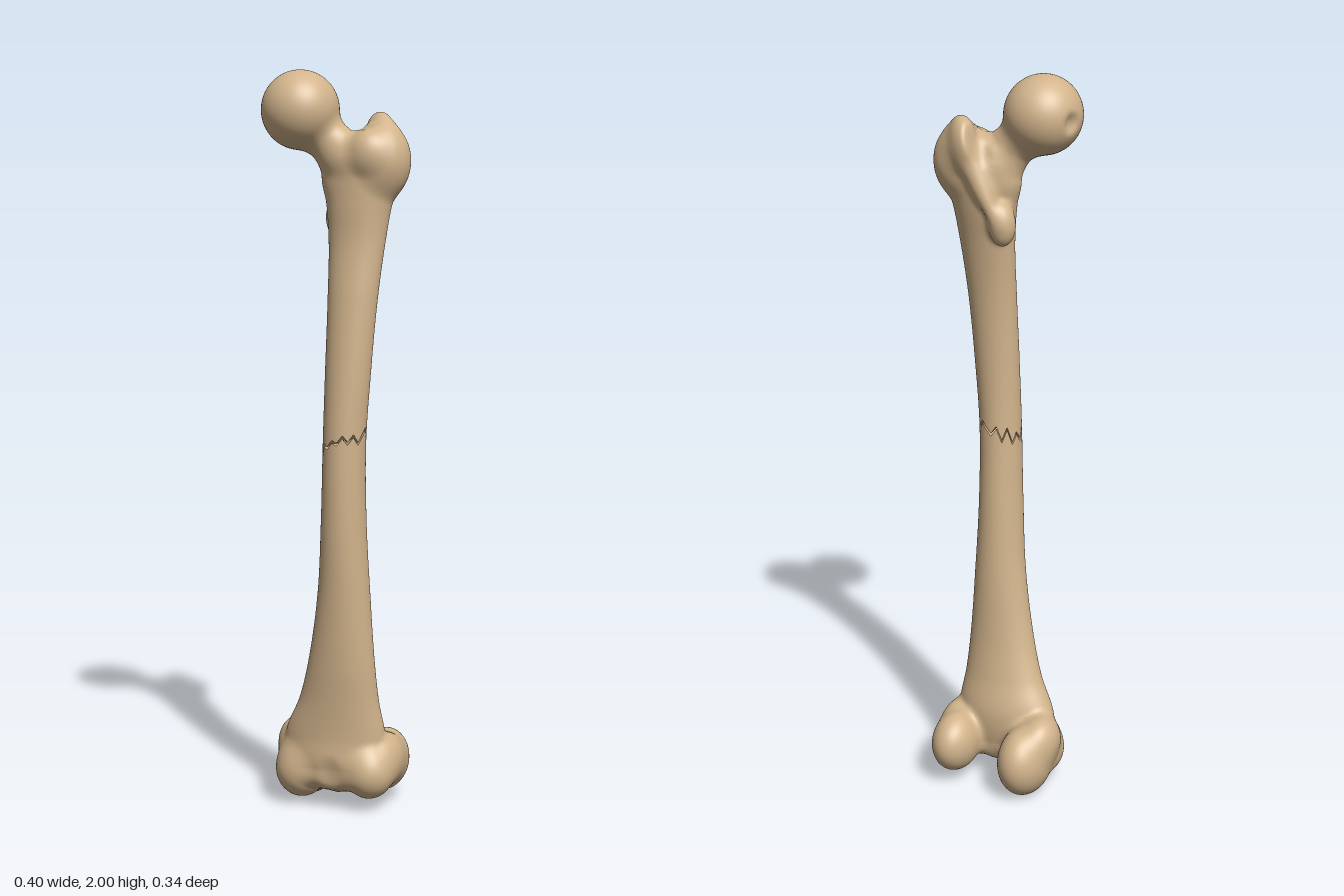
import * as THREE from 'three';

const bone = new THREE.MeshStandardMaterial({ color: 0xd2b48c });
bone.name = 'bone';
const BLEND = 0.028;

// Shaft stations: height -> x min, x max, z min, z max
const stations = [
  [0.035, -0.008, 0.0, 0.02, 0.028],
  [0.06, -0.09, 0.08, -0.03, 0.08],
  [0.12, -0.15, 0.125, -0.05, 0.1],
  [0.2, -0.155, 0.13, -0.055, 0.1],
  [0.3, -0.11, 0.117, -0.032, 0.106],
  [0.4, -0.08, 0.11, -0.015, 0.115],
  [0.6, -0.045, 0.1, 0.0, 0.127],
  [0.8, -0.03, 0.092, 0.01, 0.138],
  [1.02, -0.022, 0.093, 0.02, 0.14],
  [1.2, -0.018, 0.105, 0.02, 0.132],
  [1.4, -0.016, 0.12, 0.01, 0.116],
  [1.55, -0.02, 0.135, -0.01, 0.1],
  [1.65, -0.03, 0.15, -0.03, 0.1],
  [1.72, -0.045, 0.17, -0.04, 0.1],
  [1.78, -0.03, 0.17, -0.04, 0.1],
  [1.83, 0.03, 0.14, -0.02, 0.07],
  [1.85, 0.08, 0.088, 0.02, 0.028],
];
const BOTTOM = stations[0][0], TOP = stations[stations.length - 1][0];
const spline = new THREE.CubicInterpolant(stations.map(s => s[0]), stations.flatMap(s => s.slice(1)), 4);

function section(y) {
  const [x0, x1, z0, z1] = spline.evaluate(THREE.MathUtils.clamp(y, BOTTOM, TOP));
  return {
    cx: (x0 + x1) / 2, cz: (z0 + z1) / 2,
    rx: Math.max((x1 - x0) / 2, 0.003), rz: Math.max((z1 - z0) / 2, 0.003),
  };
}

function shaftDistance(p) {
  const { cx, cz, rx, rz } = section(p.y);
  const side = (Math.hypot((p.x - cx) / rx, (p.z - cz) / rz) - 1) * Math.min(rx, rz);
  return Math.max(side, BOTTOM - p.y, p.y - TOP);
}

// An ellipsoid lump, with rotation in degrees
function lump(name, centre, radii, rotation = [0, 0, 0]) {
  const matrix = new THREE.Matrix4().makeRotationFromEuler(
    new THREE.Euler(...rotation.map(THREE.MathUtils.degToRad))).setPosition(...centre);
  return { name, radii: new THREE.Vector3(...radii), matrix, inverse: matrix.clone().invert() };
}

const q = new THREE.Vector3();
function lumpDistance(l, p) {
  q.copy(p).applyMatrix4(l.inverse).divide(l.radii);
  const k0 = q.length(), k1 = q.divide(l.radii).length();
  return k1 < 1e-6 ? -Math.min(l.radii.x, l.radii.y, l.radii.z) : k0 * (k0 - 1) / k1;
}

function smoothMin(a, b, k = BLEND) {
  const h = Math.max(k - Math.abs(a - b), 0) / k;
  return Math.min(a, b) - h * h * k / 4;
}

// Signed distance to one bone fragment: shaft and lumps joined, hollows removed
function makeField(lumps, hollows) {
  return p => {
    let d = shaftDistance(p);
    for (const l of lumps) d = smoothMin(d, lumpDistance(l, p));
    for (const h of hollows) d = -smoothMin(-d, lumpDistance(h, p), 0.018);
    return d;
  };
}

// Pull the vertices of a part onto the blended surface and shade them smoothly
function blend(geometry, field) {
  const pos = geometry.attributes.position, nor = geometry.attributes.normal;
  const p = new THREE.Vector3(), g = new THREE.Vector3(), t = new THREE.Vector3();
  const e = 0.0015;
  const gradient = () => {
    for (const a of ['x', 'y', 'z']) {
      t.copy(p); t[a] += e;
      const high = field(t);
      t[a] -= 2 * e;
      g[a] = (high - field(t)) / (2 * e);
    }
  };
  for (let i = 0; i < pos.count; i++) {
    p.fromBufferAttribute(pos, i);
    for (let n = 0; n < 5; n++) {
      const d = field(p);
      if (d < -0.035 || Math.abs(d) < 1e-4) break;
      gradient();
      const step = THREE.MathUtils.clamp(d / Math.max(g.lengthSq(), 0.2), -0.02, 0.02);
      p.addScaledVector(g, -step);
    }
    gradient();
    g.normalize();
    pos.setXYZ(i, p.x, p.y, p.z);
    nor.setXYZ(i, g.x, g.y, g.z);
  }
  return geometry;
}

// Jagged fracture line around the shaft
const teeth = [0, 14, -6, 9, -14, 4, 18, -4, 6, -10, 12, 2, -8, 16, -16, 20, -18, 8, -12, 15, -20, 6, -3, 10];
function fractureY(u) {
  const f = (u % 1) * teeth.length, i = Math.floor(f);
  const tooth = THREE.MathUtils.lerp(teeth[i % teeth.length], teeth[(i + 1) % teeth.length], f - i);
  return 1.02 + 0.018 * Math.sin(u * Math.PI * 2) + tooth * 0.0011;
}

function shaftPoint(u, y) {
  const s = section(y), a = u * Math.PI * 2;
  return [s.cx + s.rx * Math.sin(a), y, s.cz + s.rz * Math.cos(a)];
}

function shaftGeometry(isUpper, gap) {
  const geometry = new THREE.CylinderGeometry(1, 1, 1, 96, 150, true);
  const { position, uv } = geometry.attributes;
  for (let i = 0; i < position.count; i++) {
    const u = uv.getX(i), v = uv.getY(i), edge = fractureY(u) + gap;
    const y = isUpper ? THREE.MathUtils.lerp(edge, TOP, v) : THREE.MathUtils.lerp(BOTTOM, edge, v);
    position.setXYZ(i, ...shaftPoint(u, y));
  }
  return geometry;
}

// Broken end face, a fan from the middle of the shaft to the jagged rim
function fractureGeometry(isUpper, gap) {
  const points = [], n = 96, s = section(1.02);
  for (let i = 0; i < n; i++) {
    const a = shaftPoint(i / n, fractureY(i / n) + gap);
    const b = shaftPoint((i + 1) / n, fractureY((i + 1) / n) + gap);
    const c = [s.cx, 1.02 + gap, s.cz];
    points.push(...(isUpper ? [c, b, a] : [c, a, b]).flat());
  }
  const geometry = new THREE.BufferGeometry();
  geometry.setAttribute('position', new THREE.Float32BufferAttribute(points, 3));
  geometry.computeVertexNormals();
  return geometry;
}

function fragment(name, isUpper, lumps, hollows) {
  const group = new THREE.Group(), field = makeField(lumps, hollows), gap = isUpper ? 0.004 : -0.004;
  group.name = name;
  const add = (partName, geometry) => {
    const mesh = new THREE.Mesh(geometry, bone);
    mesh.name = partName;
    group.add(mesh);
  };
  add('shaft', blend(shaftGeometry(isUpper, gap), field));
  add('fractureFace', fractureGeometry(isUpper, gap));
  for (const l of lumps) {
    const sphere = new THREE.SphereGeometry(1, 56, 40).scale(l.radii.x, l.radii.y, l.radii.z);
    add(l.name, blend(sphere.applyMatrix4(l.matrix), field));
  }
  return group;
}

export function createModel() {
  const model = new THREE.Group();
  model.name = 'brokenThighBone';

  // Upper fragment: ball head, neck and the bony knobs for muscle
  model.add(fragment('upperFragment', true, [
    lump('neck', [-0.005, 1.8, 0.045], [0.13, 0.06, 0.054], [0, 0, -40]),
    lump('greaterTrochanter', [0.125, 1.765, 0.025], [0.07, 0.095, 0.075]),
    lump('trochanterTip', [0.1, 1.82, -0.017], [0.068, 0.07, 0.038], [0, -51, 0]),
    lump('frontTubercle', [0.098, 1.785, 0.07], [0.045, 0.055, 0.043]),
    lump('rearCrest', [0.04, 1.72, -0.038], [0.024, 0.11, 0.024], [0, 0, -27]),
    lump('lesserTrochanter', [-0.017, 1.61, -0.016], [0.035, 0.055, 0.034]),
    lump('head', [-0.095, 1.895, 0.065], [0.104, 0.105, 0.105]),
  ], [
    lump('headPit', [-0.2, 1.885, 0.03], [0.02, 0.024, 0.022]),
    lump('trochanterHollow', [0.035, 1.83, -0.06], [0.022, 0.06, 0.04], [0, 0, -20]),
  ]));

  // Lower fragment: the two knee condyles with the notch and groove between them
  model.add(fragment('lowerFragment', false, [
    lump('innerCondyle', [-0.115, 0.1, -0.068], [0.072, 0.1, 0.102]),
    lump('innerCondyleFront', [-0.11, 0.095, 0.025], [0.073, 0.08, 0.075]),
    lump('innerEpicondyle', [-0.15, 0.155, -0.04], [0.05, 0.065, 0.065]),
    lump('outerCondyle', [0.097, 0.115, -0.074], [0.064, 0.085, 0.091]),
    lump('outerCondyleFront', [0.09, 0.105, 0.035], [0.068, 0.073, 0.07]),
    lump('outerEpicondyle', [0.125, 0.135, -0.015], [0.042, 0.065, 0.06]),
  ], [
    lump('kneeNotch', [-0.01, 0.03, -0.125], [0.04, 0.1, 0.09]),
    lump('kneecapGroove', [0.0, 0.07, 0.135], [0.045, 0.09, 0.045]),
  ]));
  return model;
}
